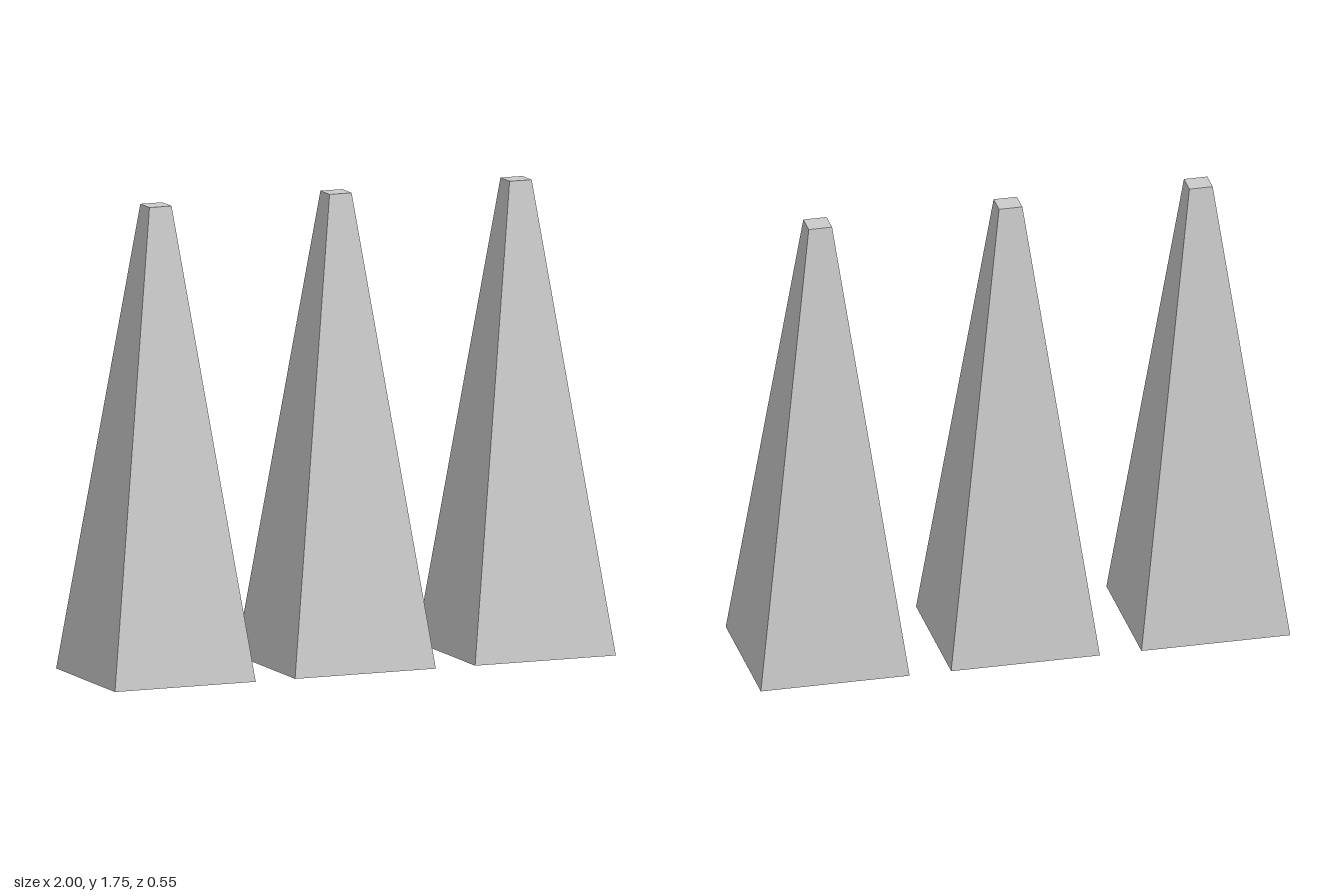
import * as THREE from 'three';

const HEIGHT = 1.753;
const SPACING = 0.719;
const BASE = { x: 0.281, z: 0.276 }; // half widths at the foot
const TOP = { x: 0.044, z: 0.043 };  // half widths at the flat tip

// Four-sided tapered block, closed at both ends, standing on y = 0
function taperedBlock() {
  const geometry = new THREE.BoxGeometry(2, HEIGHT, 2);
  geometry.translate(0, HEIGHT / 2, 0);
  const p = geometry.attributes.position;
  for (let i = 0; i < p.count; i++) {
    const half = p.getY(i) > HEIGHT / 2 ? TOP : BASE;
    p.setX(i, p.getX(i) * half.x);
    p.setZ(i, p.getZ(i) * half.z);
  }
  geometry.computeVertexNormals();
  return geometry;
}

export function createModel() {
  const model = new THREE.Group();
  model.name = 'obeliskRow';
  const material = new THREE.MeshStandardMaterial({ color: 0xcccccc, flatShading: true });
  const geometry = taperedBlock();

  // Three identical obelisks in a row
  ['rightObelisk', 'middleObelisk', 'leftObelisk'].forEach((name, i) => {
    const obelisk = new THREE.Mesh(geometry, material);
    obelisk.name = name;
    obelisk.position.x = (i - 1) * SPACING;
    model.add(obelisk);
  });
  return model;
}
